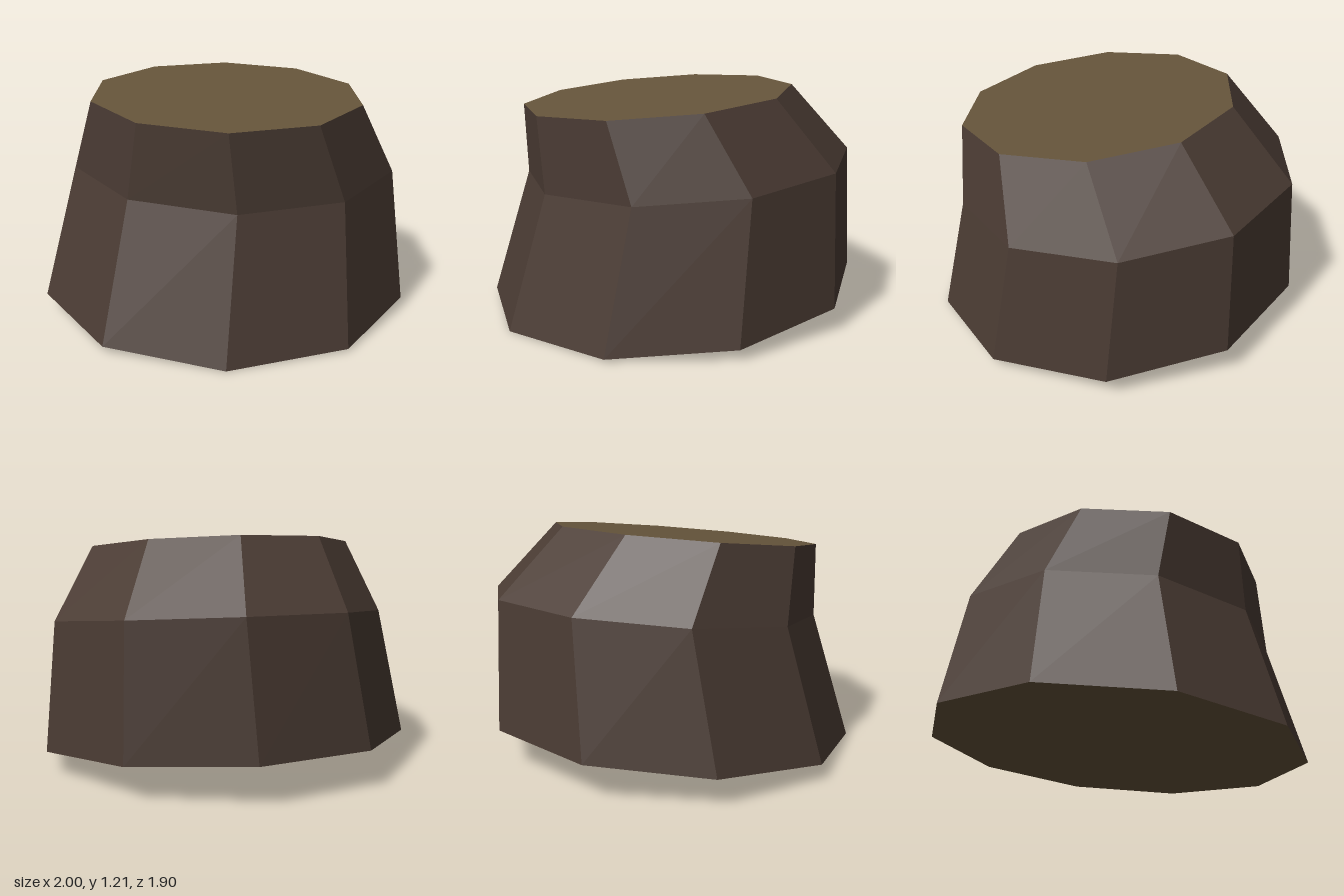
import * as THREE from 'three';

const SIDES = 10;

// Tilted ten-sided rings, bottom to top: centre and radius
const RINGS = [
  { x: 0, y: 0.103, z: 0, r: 1 },
  { x: 0.09, y: 0.775, z: 0, r: 0.88 },
  { x: -0.075, y: 1.14, z: 0.07, r: 0.717 },
];

function ringPoint(ring, i) {
  const a = (i / SIDES) * Math.PI * 2;
  const dx = Math.cos(a) * ring.r;
  const dz = Math.sin(a) * ring.r;
  return [ring.x + dx, ring.y + 0.073 * dx - 0.072 * dz, ring.z + dz];
}

function makeMesh(name, positions, material) {
  const geometry = new THREE.BufferGeometry();
  geometry.setAttribute('position', new THREE.Float32BufferAttribute(positions, 3));
  geometry.computeVertexNormals();
  const mesh = new THREE.Mesh(geometry, material);
  mesh.name = name;
  return mesh;
}

// Flat end face of the stump
function capPositions(ring, up) {
  const out = [];
  for (let i = 0; i < SIDES; i++) {
    const a = ringPoint(ring, i);
    const b = ringPoint(ring, i + 1);
    out.push(ring.x, ring.y, ring.z, ...(up ? b : a), ...(up ? a : b));
  }
  return out;
}

// Faceted band between two rings
function bandPositions(low, high) {
  const out = [];
  for (let i = 0; i < SIDES; i++) {
    const a = ringPoint(low, i + 1);
    const b = ringPoint(low, i);
    const c = ringPoint(high, i);
    const d = ringPoint(high, i + 1);
    out.push(...a, ...b, ...c, ...a, ...c, ...d);
  }
  return out;
}

export function createModel() {
  const bark = new THREE.MeshStandardMaterial({ color: 0x4a3b33 });
  bark.name = 'dark bark';
  const wood = new THREE.MeshStandardMaterial({ color: 0x66553b });
  wood.name = 'cut wood';

  const group = new THREE.Group();
  group.name = 'stump';
  group.add(
    makeMesh('lowerBark', bandPositions(RINGS[0], RINGS[1]), bark),
    makeMesh('upperBark', bandPositions(RINGS[1], RINGS[2]), bark),
    makeMesh('topCut', capPositions(RINGS[2], true), wood),
    makeMesh('bottomCut', capPositions(RINGS[0], false), wood),
  );
  return group;
}
